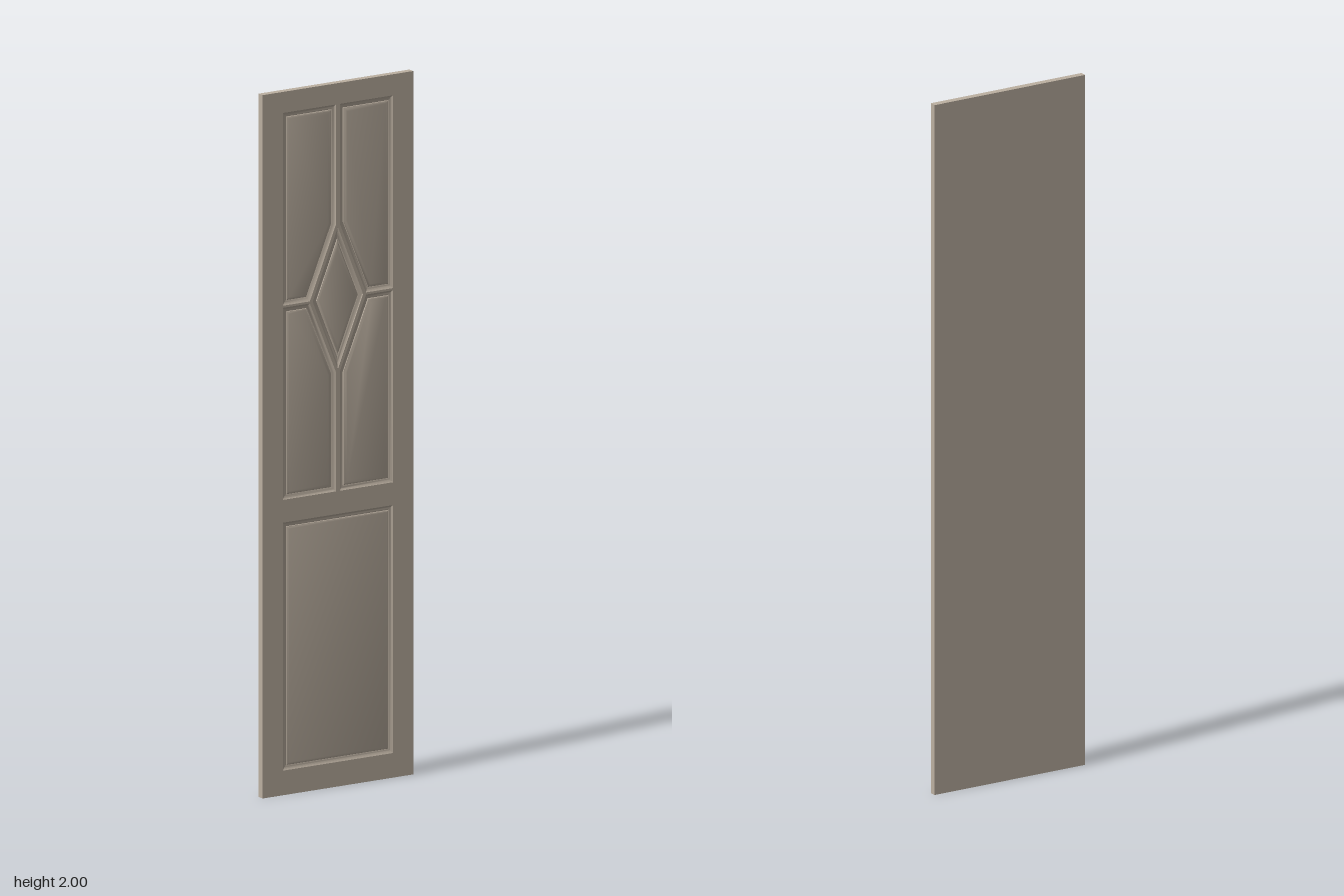
import * as THREE from 'three';
import { toCreasedNormals } from 'three/addons/utils/BufferGeometryUtils.js';

const W = 0.49, H = 2, FRONT = 0.01, BACK = -0.01, SEAM = 0.002;
const GROOVE = 0.013; // width of the cove around each panel

// Move every side of a convex counter-clockwise polygon outward by d, with mitred corners
function offset(pts, d) {
  const n = pts.length;
  return pts.map((p, i) => {
    const a = pts[(i + n - 1) % n], b = pts[(i + 1) % n];
    const n1 = new THREE.Vector2(p.y - a.y, a.x - p.x).normalize();
    const n2 = new THREE.Vector2(b.y - p.y, p.x - b.x).normalize();
    const k = d / (1 + n1.dot(n2));
    return new THREE.Vector2(p.x + (n1.x + n2.x) * k, p.y + (n1.y + n2.y) * k);
  });
}

// Moulding section: [outward offset from the valley line, z]
const section = [
  [GROOVE, FRONT], [0.0115, 0.0085], [0.009, 0.007], [0.006, 0.006], [0.002, 0.0055],
  [0, 0.0045], [-0.001, 0.006], [-0.004, 0.0072], [-0.008, 0.0083], [-0.012, 0.0088],
];

// Moulding rings swept round the outline, closed by a raised flat field
function panelGeometry(outline) {
  const n = outline.length, pos = [], index = [];
  for (const [d, z] of section) for (const p of offset(outline, d)) pos.push(p.x, p.y, z);
  for (let r = 0; r < section.length - 1; r++) {
    for (let i = 0; i < n; i++) {
      const a = r * n + i, b = r * n + (i + 1) % n;
      index.push(a, b, b + n, a, b + n, a + n);
    }
  }
  const last = (section.length - 1) * n;
  for (let i = 1; i < n - 1; i++) index.push(last, last + i, last + i + 1);
  const geo = new THREE.BufferGeometry();
  geo.setAttribute('position', new THREE.Float32BufferAttribute(pos, 3));
  geo.setIndex(index);
  return toCreasedNormals(geo, 0.5);
}

const poly = (...pts) => pts.map(([x, y]) => new THREE.Vector2(x, y));
const mirror = (pts) => pts.map((p) => new THREE.Vector2(-p.x, p.y)).reverse();

export function createModel() {
  const group = new THREE.Group();
  group.name = 'panelDoor';
  const material = new THREE.MeshStandardMaterial({ color: 0xbdb1a2 });
  const add = (geo, name) => {
    const mesh = new THREE.Mesh(geo, material);
    mesh.name = name;
    group.add(mesh);
    return mesh;
  };

  // Valley outlines of the panels, counter-clockwise seen from the front
  const upper = poly([0.10, 1.405], [0.166, 1.405], [0.166, 1.927], [0.019, 1.927], [0.019, 1.602]);
  const lower = poly([0.019, 0.853], [0.166, 0.853], [0.166, 1.373], [0.10, 1.373], [0.019, 1.176]);
  const panels = {
    upperLeftPanel: upper,
    upperRightPanel: mirror(upper),
    middleLeftPanel: lower,
    middleRightPanel: mirror(lower),
    diamondPanel: poly([0, 1.222], [0.068, 1.389], [0, 1.556], [-0.068, 1.389]),
    bottomPanel: poly([-0.166, 0.083], [0.166, 0.083], [0.166, 0.762], [-0.166, 0.762]),
  };

  // Front frame, cut out where the panels sit
  const face = new THREE.Shape(poly([-W / 2, 0], [W / 2, 0], [W / 2, H], [-W / 2, H]));
  for (const [name, outline] of Object.entries(panels)) {
    face.holes.push(new THREE.Path(offset(outline, GROOVE).reverse()));
    add(panelGeometry(outline), name);
  }
  const frame = new THREE.ExtrudeGeometry(face, { depth: FRONT - SEAM, bevelEnabled: false });
  add(frame, 'frontFrame').position.z = SEAM;

  // Plain back board
  const board = new THREE.BoxGeometry(W, H, SEAM - BACK);
  add(board, 'backBoard').position.set(0, H / 2, (SEAM + BACK) / 2);

  return group;
}
